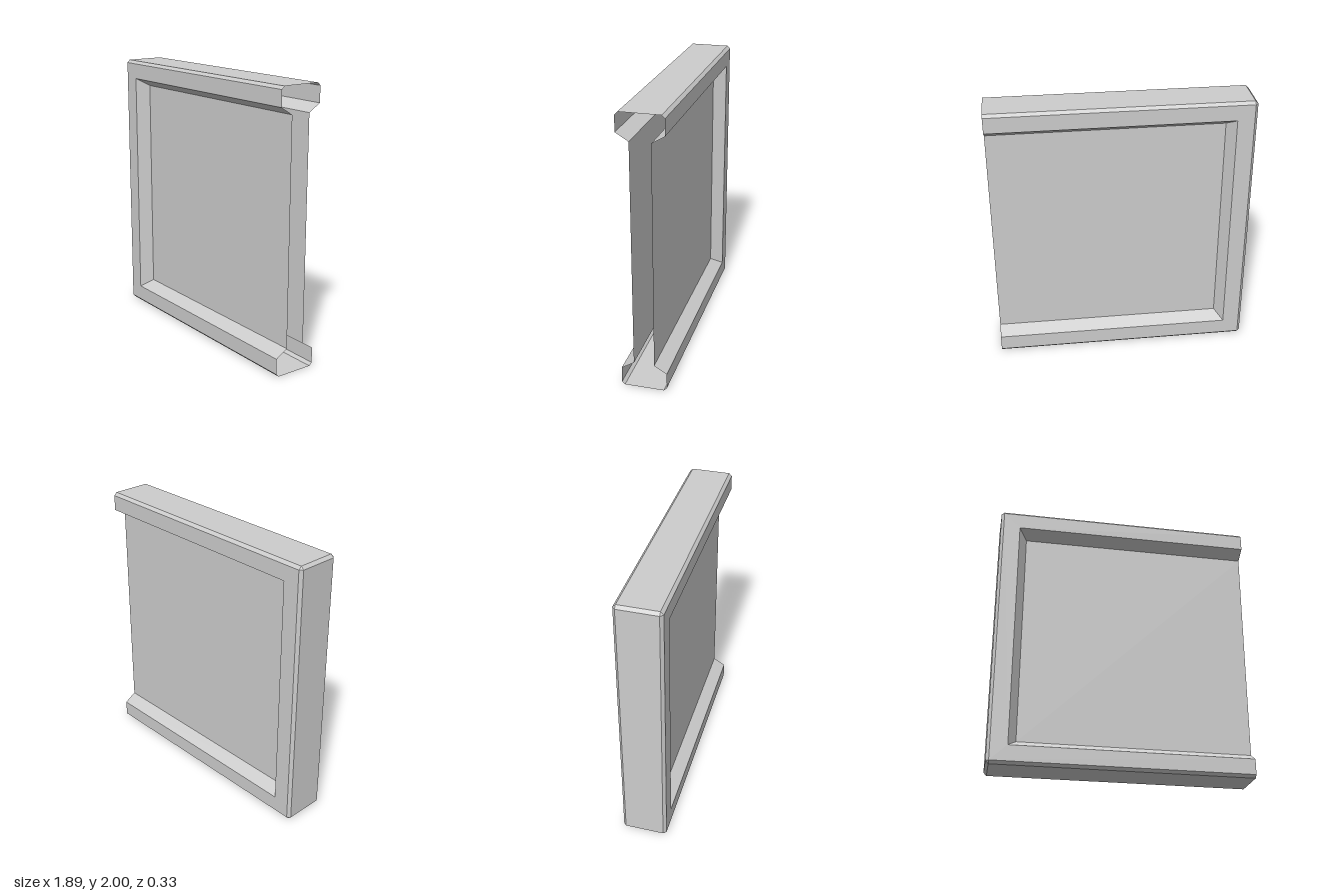
import * as THREE from 'three';

// Hollow wall end section: chamfered frame with recessed panels, open at its +x end.
const RIGHT = 0.945;

// Three-sided outline (bottom, left, top), optionally with cut corners
function outline(left, bottom, top, z, cut = 0) {
  return [
    [RIGHT, bottom], [left + cut, bottom], [left, bottom + cut],
    [left, top - cut], [left + cut, top], [RIGHT, top],
  ].map(([x, y]) => new THREE.Vector3(x, y, z));
}

// Flat-faced skin between successive outlines, ordered back to front
function skin(rings) {
  const pos = [];
  const tri = (a, b, c) => {
    const area = b.clone().sub(a).cross(c.clone().sub(a)).length();
    if (area > 1e-7) for (const p of [a, b, c]) pos.push(p.x, p.y, p.z);
  };
  for (let i = 0; i < rings.length - 1; i++) {
    const r = rings[i], s = rings[i + 1];
    for (let j = 0; j < r.length - 1; j++) {
      tri(r[j], s[j], r[j + 1]);
      tri(r[j + 1], s[j], s[j + 1]);
    }
  }
  const geo = new THREE.BufferGeometry();
  geo.setAttribute('position', new THREE.Float32BufferAttribute(pos, 3));
  geo.computeVertexNormals();
  return geo;
}

export function createModel() {
  const group = new THREE.Group();
  const grey = new THREE.MeshStandardMaterial({
    color: 0xcccccc, side: THREE.DoubleSide, flatShading: true,
  });
  grey.name = 'plain grey';
  const add = (name, geo) => {
    const mesh = new THREE.Mesh(geo, grey);
    mesh.name = name;
    group.add(mesh);
    return mesh;
  };

  const depth = 0.163, panelZ = 0.073, c = 0.021;
  const panel = { left: -0.746, bottom: 0.19, top: 1.81 };
  const recess = (z) => outline(panel.left, panel.bottom, panel.top, z);
  const opening = (z) => outline(-0.805, 0.135, 1.865, z);
  const edge = (z) => outline(-0.948 + c, c, 2 - c, z);
  const side = (z) => outline(-0.948, 0, 2, z, c);

  // Outer walls with chamfered edges
  add('frameWalls', skin([edge(-depth), side(-depth + c), side(depth - c), edge(depth)]));

  // Face borders and sloped reveals on both sides
  add('backBorder', skin([opening(-depth), edge(-depth)]));
  add('frontBorder', skin([edge(depth), opening(depth)]));
  add('backReveal', skin([recess(-panelZ), opening(-depth)]));
  add('frontReveal', skin([opening(depth), recess(panelZ)]));

  // Recessed panels
  for (const s of [1, -1]) {
    const sheet = add(s > 0 ? 'frontPanel' : 'backPanel',
      new THREE.PlaneGeometry(RIGHT - panel.left, panel.top - panel.bottom));
    sheet.position.set((RIGHT + panel.left) / 2, (panel.top + panel.bottom) / 2, s * panelZ);
    if (s < 0) sheet.rotation.y = Math.PI;
  }
  return group;
}
